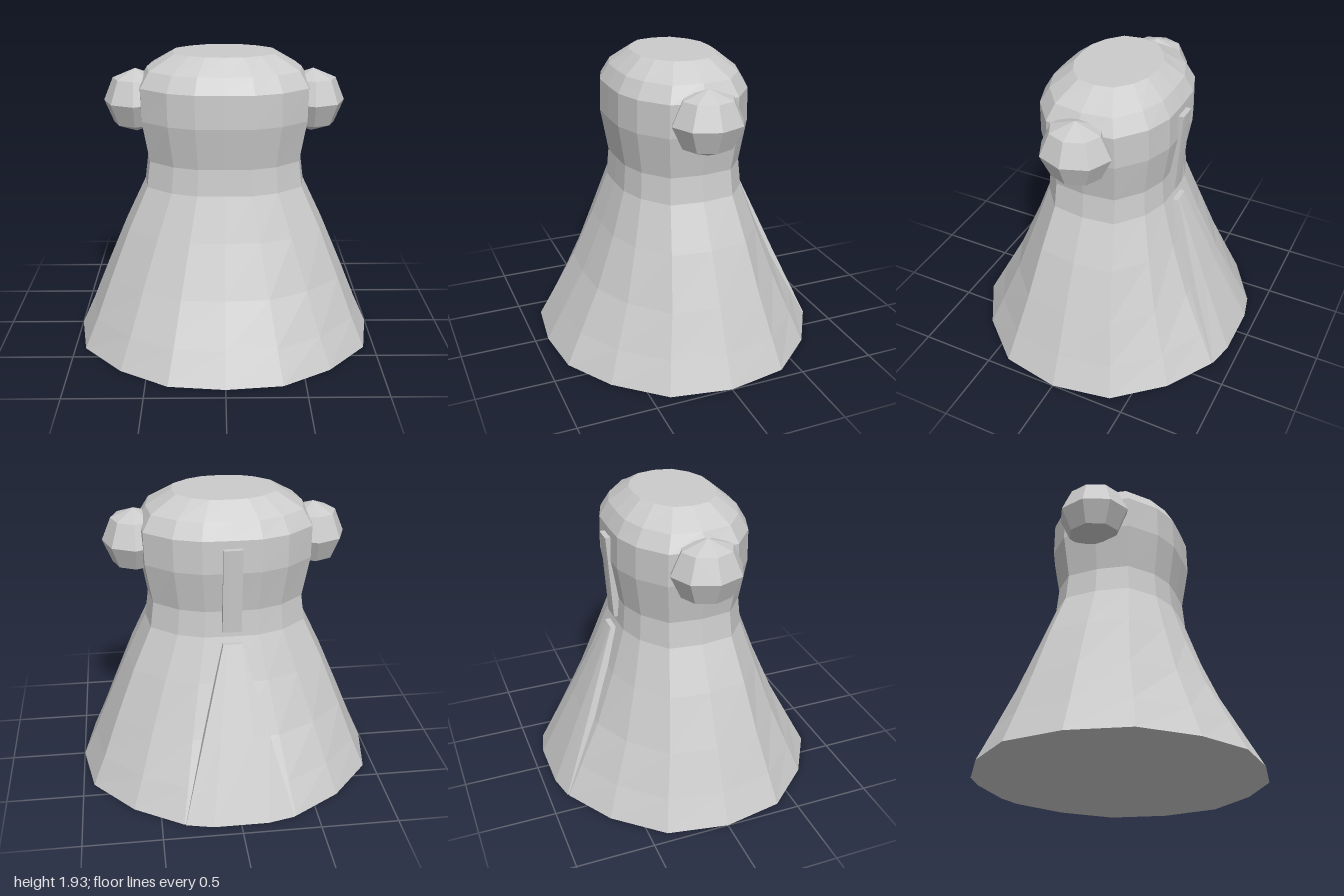
import * as THREE from 'three';

const material = new THREE.MeshStandardMaterial({ color: 0xcccccc, flatShading: true, side: THREE.DoubleSide });

// Closed solid through rings of [x, y, z], listed bottom to top, each running +z to +x
function loft(rings) {
  const n = rings[0].length, pos = [];
  const tri = (a, b, c) => pos.push(...a, ...b, ...c);
  for (let i = 0; i < rings.length - 1; i++) {
    const lo = rings[i], hi = rings[i + 1];
    for (let k = 0; k < n; k++) {
      const m = (k + 1) % n;
      tri(lo[k], lo[m], hi[m]);
      tri(lo[k], hi[m], hi[k]);
    }
  }
  const bottom = rings[0], top = rings[rings.length - 1];
  for (let k = 1; k < n - 1; k++) {
    tri(bottom[0], bottom[k + 1], bottom[k]);
    tri(top[0], top[k], top[k + 1]);
  }
  const g = new THREE.BufferGeometry();
  g.setAttribute('position', new THREE.Float32BufferAttribute(pos, 3));
  g.computeVertexNormals();
  return g;
}

// Quarter outlines (front to side), mirrored to 16 corners
const hemShape = [[0, 1], [0.36, 0.956], [0.67, 0.747], [0.93, 0.423], [1, 0]];
const neckShape = [[0, 1], [0.33, 0.99], [0.64, 0.85], [0.95, 0.52], [1, 0]];

function bodyRing([y, rx, rz, blend]) {
  return Array.from({ length: 16 }, (_, k) => {
    const q = k % 8 <= 4 ? k % 8 : 8 - (k % 8);
    const sx = k < 8 ? 1 : -1, sz = k <= 4 || k >= 12 ? 1 : -1;
    const mix = (c) => THREE.MathUtils.lerp(hemShape[q][c], neckShape[q][c], blend);
    return [sx * rx * mix(0), y, sz * rz * mix(1)];
  });
}

// Plate section: flat inner edge, outer edge bowed backwards
const plateRing = ([y, w, inner, corner, outer]) => [
  [-w, y, inner], [w, y, inner], [w, y, corner],
  [w / 2, y, outer], [-w / 2, y, outer], [-w, y, corner],
];

export function createModel() {
  const model = new THREE.Group();
  const add = (name, geometry) => {
    const mesh = new THREE.Mesh(geometry, material);
    mesh.name = name;
    model.add(mesh);
    return mesh;
  };

  // Flared skirt, narrow neck and domed head: [y, half width, half depth, outline blend]
  add('body', loft([
    [0, 1, 0.912, 0],
    [0.2, 0.91, 0.8, 0.15],
    [0.47, 0.8, 0.65, 0.4],
    [0.8, 0.66, 0.505, 0.8],
    [1.08, 0.527, 0.405, 1],
    [1.25, 0.505, 0.39, 1],
    [1.52, 0.552, 0.435, 1],
    [1.73, 0.556, 0.43, 1],
    [1.83, 0.5, 0.375, 0.8],
    [1.93, 0.335, 0.257, 0.3],
  ].map(bodyRing)));

  // Faceted knobs on both sides of the head
  for (const [name, s] of [['leftKnob', 1], ['rightKnob', -1]]) {
    const knob = add(name, new THREE.SphereGeometry(1, 8, 4));
    knob.scale.set(0.207, 0.208, 0.233);
    knob.position.set(s * 0.575, 1.612, 0);
  }

  // Narrow bar up the back of the head
  add('backBar', loft([
    [1.12, 0.06, -0.37, -0.425, -0.427],
    [1.68, 0.06, -0.4, -0.463, -0.465],
  ].map(plateRing)));

  // Widening panel down the back of the skirt
  add('backPanel', loft([
    [0, 0.35, -0.82, -0.88, -0.92],
    [0.5, 0.21, -0.6, -0.67, -0.69],
    [1.045, 0.06, -0.39, -0.45, -0.452],
  ].map(plateRing)));

  return model;
}
